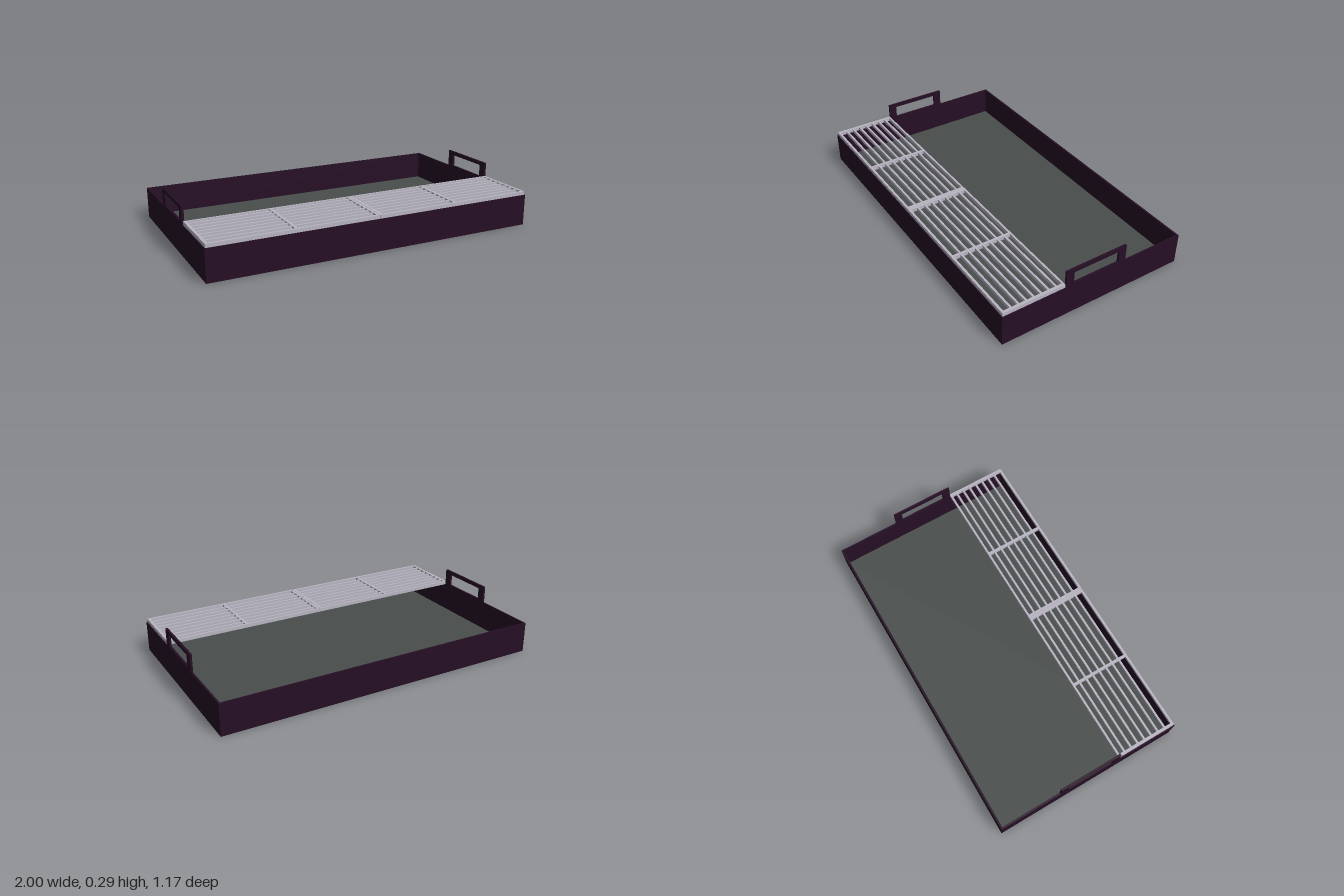
import * as THREE from 'three';

export function createModel() {
  const model = new THREE.Group();
  const mat = (name, color) => {
    const m = new THREE.MeshStandardMaterial({ color });
    m.name = name;
    return m;
  };
  const plum = mat('dark plum', 0x260e25);
  const slate = mat('slate grey', 0x484d4c);
  const silver = mat('silver', 0xb9b6c3);

  // Box given by its minimum and maximum corners
  function box(name, material, [x0, y0, z0], [x1, y1, z1], parent = model) {
    const mesh = new THREE.Mesh(new THREE.BoxGeometry(x1 - x0, y1 - y0, z1 - z0), material);
    mesh.position.set((x0 + x1) / 2, (y0 + y1) / 2, (z0 + z1) / 2);
    mesh.name = name;
    parent.add(mesh);
  }

  const W = 1, D = 0.585, H = 0.188, T = 0.011;

  // Tray: base, lining and four walls
  box('base', plum, [-W, 0, -D], [W, 0.01, D]);
  box('floorLining', slate, [-W + T, 0.01, -D + T], [W - T, 0.014, D - T]);
  box('backWall', plum, [-W, 0.01, -D], [W, H, -D + T]);
  box('frontWall', plum, [-W, 0.01, D - T], [W, H, D]);
  box('rightWall', plum, [-W, 0.01, -D + T], [-W + T, H, D - T]);
  box('leftWall', plum, [W - T, 0.01, -D + T], [W, H, D - T]);

  // Handles: upright loops with a rectangular grip hole
  const outline = new THREE.Shape([
    [-0.196, H], [0.196, H], [0.196, 0.295], [-0.196, 0.295],
  ].map(([z, y]) => new THREE.Vector2(z, y)));
  outline.holes.push(new THREE.Path([
    [-0.147, 0.198], [-0.147, 0.272], [0.147, 0.272], [0.147, 0.198],
  ].map(([z, y]) => new THREE.Vector2(z, y))));
  const handleGeo = new THREE.ExtrudeGeometry(outline, { depth: 0.013, bevelEnabled: false });
  handleGeo.rotateY(-Math.PI / 2);
  for (const [name, x] of [['rightHandle', -W + 0.013], ['leftHandle', W]]) {
    const handle = new THREE.Mesh(handleGeo, plum);
    handle.position.x = x;
    handle.name = name;
    model.add(handle);
  }

  // Grille: two framed panels side by side, each with a divider and seven slats
  const y0 = H, y1 = 0.21, z0 = 0.198, z1 = 0.58, F = 0.017;
  for (const [name, left] of [['rightGrille', -0.995], ['leftGrille', 0.001]]) {
    const panel = new THREE.Group();
    panel.name = name;
    model.add(panel);
    const right = left + 0.994, mid = (left + right) / 2;
    box('sideRail', silver, [left, y0, z0], [left + F, y1, z1], panel);
    box('sideRail', silver, [right - F, y0, z0], [right, y1, z1], panel);
    box('backRail', silver, [left + F, y0, z0], [right - F, y1, z0 + 0.012], panel);
    box('frontRail', silver, [left + F, y0, z1 - 0.014], [right - F, y1, z1], panel);
    box('divider', silver, [mid - 0.008, y0, z0 + 0.012], [mid + 0.008, y1, z1 - 0.014], panel);
    for (let i = 0; i < 7; i++) {
      const z = 0.244 + i * 0.0463;
      box('slat', silver, [left + F, y0 + 0.001, z - 0.006], [right - F, y1 - 0.001, z + 0.006], panel);
    }
  }
  return model;
}
